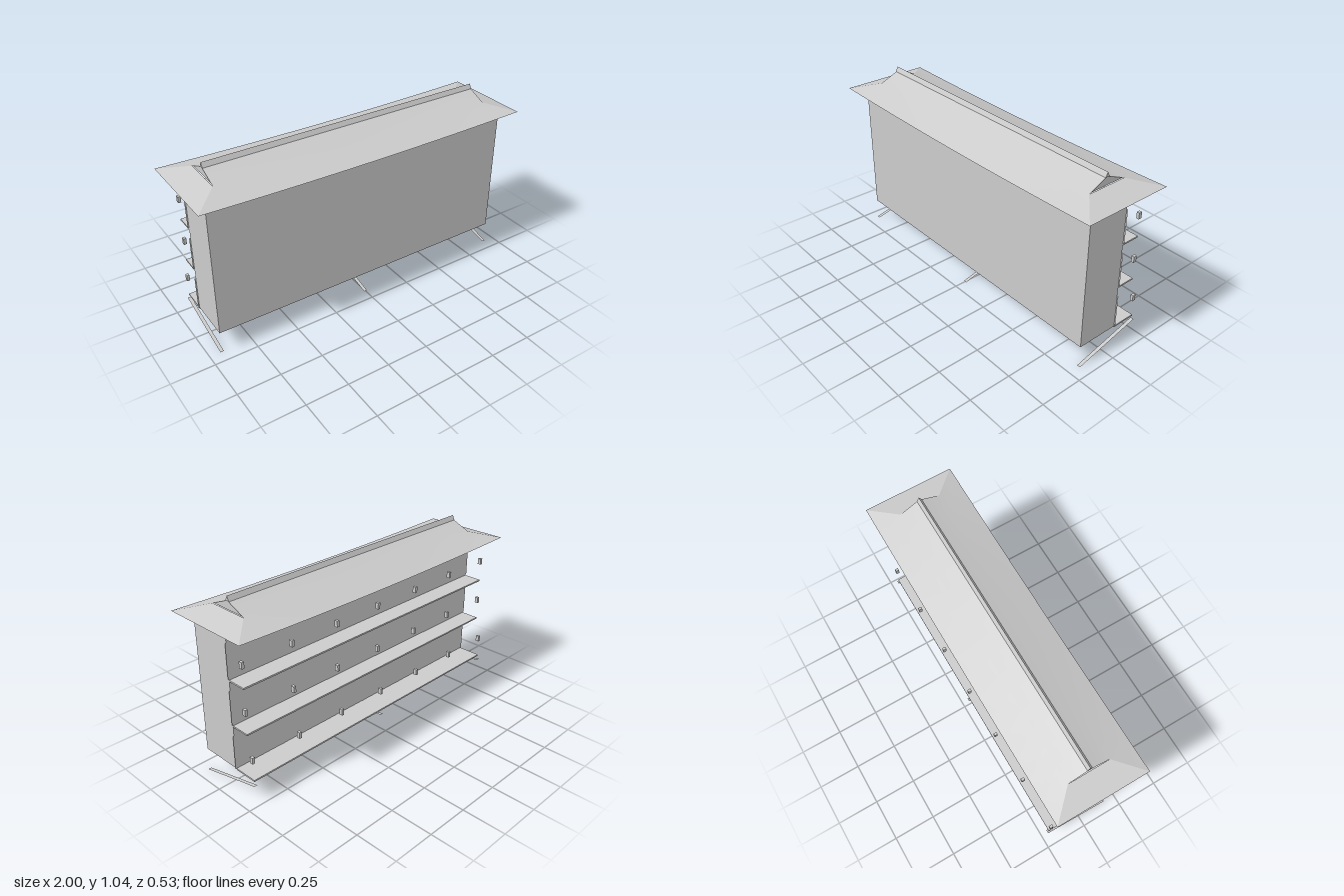
import * as THREE from 'three';

const grey = new THREE.MeshStandardMaterial({ color: 0xcccccc });
const sheet = new THREE.MeshStandardMaterial({ color: 0xcccccc, side: THREE.DoubleSide });

function add(parent, name, geometry, material = grey) {
  const mesh = new THREE.Mesh(geometry, material);
  mesh.name = name;
  parent.add(mesh);
  return mesh;
}

// Box given by its minimum and maximum on each axis
function box(parent, name, x0, x1, y0, y1, z0, z1) {
  const m = add(parent, name, new THREE.BoxGeometry(x1 - x0, y1 - y0, z1 - z0));
  m.position.set((x0 + x1) / 2, (y0 + y1) / 2, (z0 + z1) / 2);
}

// Surface stretched between rows of points
function loft(rows) {
  const n = rows[0].length, index = [];
  for (let r = 0; r < rows.length - 1; r++) {
    for (let i = 0; i < n - 1; i++) {
      const a = r * n + i, b = a + n;
      index.push(a, a + 1, b, b, a + 1, b + 1);
    }
  }
  const g = new THREE.BufferGeometry();
  g.setAttribute('position', new THREE.Float32BufferAttribute(rows.flat(2), 3));
  g.setIndex(index);
  g.computeVertexNormals();
  return g;
}

// Thin strip, w wide along x, running between two (y, z) points
function strip(parent, name, x, w, [ya, za], [yb, zb]) {
  add(parent, name, loft([
    [[x - w / 2, ya, za], [x + w / 2, ya, za]],
    [[x - w / 2, yb, zb], [x + w / 2, yb, zb]],
  ]), sheet);
}

function makeRoof() {
  const roof = new THREE.Group();
  roof.name = 'roof';
  const steps = 16, ix = 0.855, iz = 0.12, ex = 1, ez = 0.265;
  const eaveY = t => 0.915 + 0.015 * t * t;

  // Gently sagging skirt: front and back slopes, then hipped ends
  for (const s of [1, -1]) {
    const eave = [], top = [], ridge = [];
    for (let i = 0; i <= steps; i++) {
      const t = s * (2 * i / steps - 1);
      eave.push([t * ex, eaveY(t), s * ez]);
      top.push([t * ix, 0.97, s * iz]);
      ridge.push([t * ix, 1.022, 0]);
    }
    add(roof, 'mainSlope', loft([eave, top, ridge]), sheet);
    add(roof, 'endSlope', loft([
      [[s * ex, 0.93, s * ez], [s * ex, 0.93, -s * ez]],
      [[s * ix, 0.97, s * iz], [s * ix, 0.97, -s * iz]],
    ]), sheet);

    // Triangular gable above the hipped end
    const gable = new THREE.Shape([
      new THREE.Vector2(-iz, 0.97), new THREE.Vector2(iz, 0.97), new THREE.Vector2(0, 1.022)]);
    const g = add(roof, 'gable', new THREE.ShapeGeometry(gable), sheet);
    g.rotation.y = s * Math.PI / 2;
    g.position.x = s * 0.85;
  }

  // Pointed ridge cap
  const cap = new THREE.Shape([
    new THREE.Vector2(-0.014, 1.018), new THREE.Vector2(0.014, 1.018), new THREE.Vector2(0, 1.045)]);
  const r = add(roof, 'ridgeCap',
    new THREE.ExtrudeGeometry(cap, { depth: 1.71, bevelEnabled: false }));
  r.rotation.y = Math.PI / 2;
  r.position.x = -0.855;
  return roof;
}

export function createModel() {
  const model = new THREE.Group();
  model.name = 'shelvedPavilion';

  box(model, 'body', -0.93, 0.93, 0.13, 0.91, -0.07, 0.18);

  // Each tier has a shelf, wall posts and floating pegs
  const tiers = [
    { shelf: 0.122, edge: -0.213, post: [0.13, 0.33], peg: 0.25, pegZ: -0.205 },
    { shelf: 0.38, edge: -0.18, post: [0.395, 0.59], peg: 0.512, pegZ: -0.175 },
    { shelf: 0.64, edge: -0.18, post: [0.655, 0.85], peg: 0.772, pegZ: -0.175 },
  ];
  for (const t of tiers) {
    box(model, 'shelf', -0.93, 0.93, t.shelf, t.shelf + 0.009, t.edge, -0.07);
    for (let i = -3; i <= 3; i++) {
      const x = i * 0.309;
      strip(model, 'wallPost', x, 0.02, [t.post[0], -0.071], [t.post[1], -0.071]);
      box(model, 'peg', x - 0.008, x + 0.008, t.peg - 0.018, t.peg + 0.018, t.pegZ - 0.01, t.pegZ + 0.01);
    }
  }

  // Sloping ground runners, low at the front
  for (const x of [-0.928, 0, 0.928]) {
    strip(model, 'runner', x, 0.02, [0, 0.18], [0.1, -0.22]);
  }

  model.add(makeRoof());
  return model;
}
